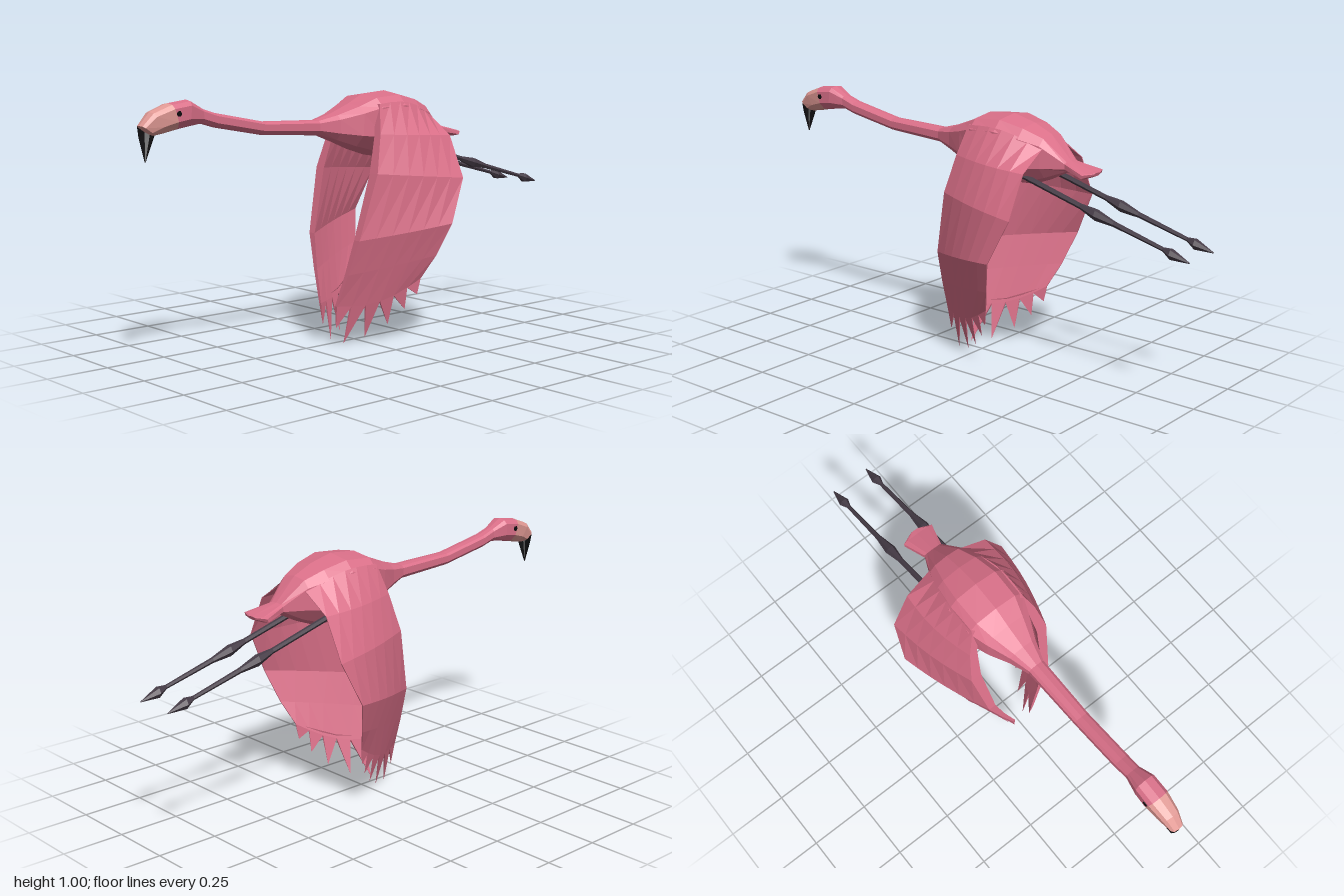
import * as THREE from 'three';

const mat = (name, color) => {
  const m = new THREE.MeshStandardMaterial({ color, flatShading: true });
  m.name = name;
  return m;
};

// Skin a list of closed loops (ordered front to back, counter-clockwise from the front) and cap both ends.
function loft(loops) {
  const pos = [];
  const tri = (a, b, c) => {
    const area = b.clone().sub(a).cross(c.clone().sub(a)).length();
    if (area > 1e-9) for (const v of [a, b, c]) pos.push(v.x, v.y, v.z);
  };
  const n = loops[0].length;
  for (let i = 0; i < loops.length - 1; i++) {
    for (let j = 0; j < n; j++) {
      const k = (j + 1) % n, p = loops[i], q = loops[i + 1];
      tri(p[j], q[j], p[k]);
      tri(p[k], q[j], q[k]);
    }
  }
  const cap = (loop, back) => {
    const c = new THREE.Vector3();
    loop.forEach(v => c.addScaledVector(v, 1 / n));
    loop.forEach((v, j) => {
      const w = loop[(j + 1) % n];
      back ? tri(c, w, v) : tri(c, v, w);
    });
  };
  cap(loops[0], false);
  cap(loops[loops.length - 1], true);
  const g = new THREE.BufferGeometry();
  g.setAttribute('position', new THREE.Float32BufferAttribute(pos, 3));
  g.computeVertexNormals();
  return g;
}

// Body cross-section: half outline as [width share, height share]
const HALF = [[0.7, 0.95], [1, 0.8], [1, 0.32], [0.6, 0.08]];
const OUTLINE = [[0, 1], ...HALF.map(([x, y]) => [-x, y]), [0, 0], ...HALF.slice().reverse()];
// A ring is [top z, top y, bottom z, bottom y, half width]
const ring = ([zt, yt, zb, yb, w]) => OUTLINE.map(([x, t]) =>
  new THREE.Vector3(x * w, yb + (yt - yb) * t, zb + (zt - zb) * t));

// Wing rows: leading edge, trailing edge, outward bulge, leading thickness
const WING = [
  [[0.12, 0.965, -0.03], [0.075, 0.905, -0.35], 0.02, 0.03],
  [[0.157, 0.85, 0.0], [0.19, 0.83, -0.348], 0.02, 0.03],
  [[0.185, 0.7, 0.04], [0.27, 0.665, -0.345], 0.015, 0.042],
  [[0.153, 0.44, 0.105], [0.294, 0.49, -0.262], 0.012, 0.028],
  [[0.105, 0.3, 0.122], [0.247, 0.36, -0.22], 0.01, 0.016],
  [[0.055, 0.17, 0.137], [0.2, 0.265, -0.18], 0.006, 0.008],
];
const TIPS = [[0.04, 0.08, 0.13], [0.038, 0.01, 0.09], [0.075, 0.03, 0.01],
  [0.125, 0.08, -0.07], [0.16, 0.14, -0.13], [0.19, 0.2, -0.17]];

function makeWing(side, material) {
  const wing = new THREE.Group();
  const N = TIPS.length;
  const rows = WING.map(([a, t, bulge, thick], r) => {
    const outer = [], inner = [];
    for (let j = 0; j <= N; j++) {
      const u = j / N, s = Math.sin(Math.PI * u);
      const p = new THREE.Vector3(...a).lerp(new THREE.Vector3(...t), u);
      p.x += bulge * s;
      if (r === 0) p.y += 0.03 * s;
      if (r === WING.length - 1) p.y -= 0.035 * s;
      outer.push(p);
      inner.push(p.clone().setX(p.x - 0.004 - thick * (1 - u)));
    }
    return { outer, inner };
  });
  const place = loop => {
    const l = loop.map(v => new THREE.Vector3(v.x * side, v.y, v.z));
    return side < 0 ? l.reverse() : l;
  };
  const add = (name, loops) => {
    const m = new THREE.Mesh(loft(loops.map(place)), material);
    m.name = name;
    wing.add(m);
  };
  add('wingPanel', rows.map(r => [...r.outer, ...r.inner.slice().reverse()]));
  const { outer, inner } = rows[rows.length - 1];
  TIPS.forEach((t, j) => {
    const tip = new THREE.Vector3(...t);
    add('flightFeather', [[outer[j], outer[j + 1], inner[j + 1], inner[j]], [tip, tip, tip, tip]]);
  });
  return wing;
}

export function createModel() {
  const root = new THREE.Group();
  root.name = 'flyingWadingBird';
  const pink = mat('pinkPlumage', 0xdb7089);
  const pale = mat('paleFace', 0xe29a95);
  const black = mat('blackBeak', 0x0c0b0d);
  const dark = mat('darkLegs', 0x463c47);
  const add = (name, geometry, material) => {
    const m = new THREE.Mesh(geometry, material);
    m.name = name;
    root.add(m);
    return m;
  };

  // Head back, neck, body and tail in one skin
  const faceBack = [0.88, 1.0, 0.85, 0.903, 0.044];
  const beakBase = [0.998, 0.925, 0.94, 0.887, 0.026];
  add('bodyNeckAndTail', loft([
    faceBack,
    [0.80, 1.01, 0.81, 0.91, 0.043],
    [0.74, 0.977, 0.74, 0.92, 0.028],
    [0.68, 0.957, 0.68, 0.903, 0.03],
    [0.46, 0.915, 0.46, 0.863, 0.03],
    [0.20, 0.908, 0.20, 0.848, 0.034],
    [0.12, 0.93, 0.12, 0.818, 0.06],
    [0.03, 0.965, 0.04, 0.785, 0.1],
    [-0.04, 1.0, -0.05, 0.757, 0.128],
    [-0.16, 1.01, -0.16, 0.74, 0.13],
    [-0.26, 0.985, -0.26, 0.745, 0.11],
    [-0.34, 0.95, -0.34, 0.775, 0.08],
    [-0.43, 0.862, -0.43, 0.82, 0.04],
    [-0.53, 0.835, -0.52, 0.808, 0.068],
    [-0.55, 0.832, -0.545, 0.818, 0.02],
  ].map(ring)), pink);

  // Pale face and hooked beak
  add('face', loft([beakBase, [0.955, 0.972, 0.9, 0.893, 0.036], faceBack].map(ring)), pale);
  add('beak', loft([
    beakBase,
    [0.995, 0.885, 0.948, 0.865, 0.02],
    [0.978, 0.795, 0.974, 0.795, 0.001],
  ].map(ring).reverse().map(l => l.slice().reverse())), black);

  for (const side of [1, -1]) {
    // Eye plate
    const eye = add(side > 0 ? 'leftEye' : 'rightEye',
      new THREE.CylinderGeometry(0.011, 0.011, 0.008, 6), black);
    eye.rotation.z = Math.PI / 2;
    eye.position.set(side * 0.042, 0.963, 0.858);

    // Wing swept down
    const wing = makeWing(side, pink);
    wing.name = side > 0 ? 'leftWing' : 'rightWing';
    root.add(wing);

    // Trailing leg with knee and folded foot: [z, y, radius]
    const x = side > 0 ? 0.073 : -0.093;
    const leg = [[-0.2, 0.808, 0.012], [-0.53, 0.715, 0.011], [-0.6, 0.694, 0.022], [-0.68, 0.673, 0.011],
      [-0.89, 0.617, 0.008], [-0.925, 0.605, 0.021], [-1, 0.586, 0.002]].map(([z, y, r]) =>
      Array.from({ length: 6 }, (_, i) => {
        const a = i * Math.PI / 3;
        return new THREE.Vector3(x + r * Math.cos(a), y + r * Math.sin(a), z);
      }));
    add(side > 0 ? 'leftLeg' : 'rightLeg', loft(leg), dark);
  }
  return root;
}
